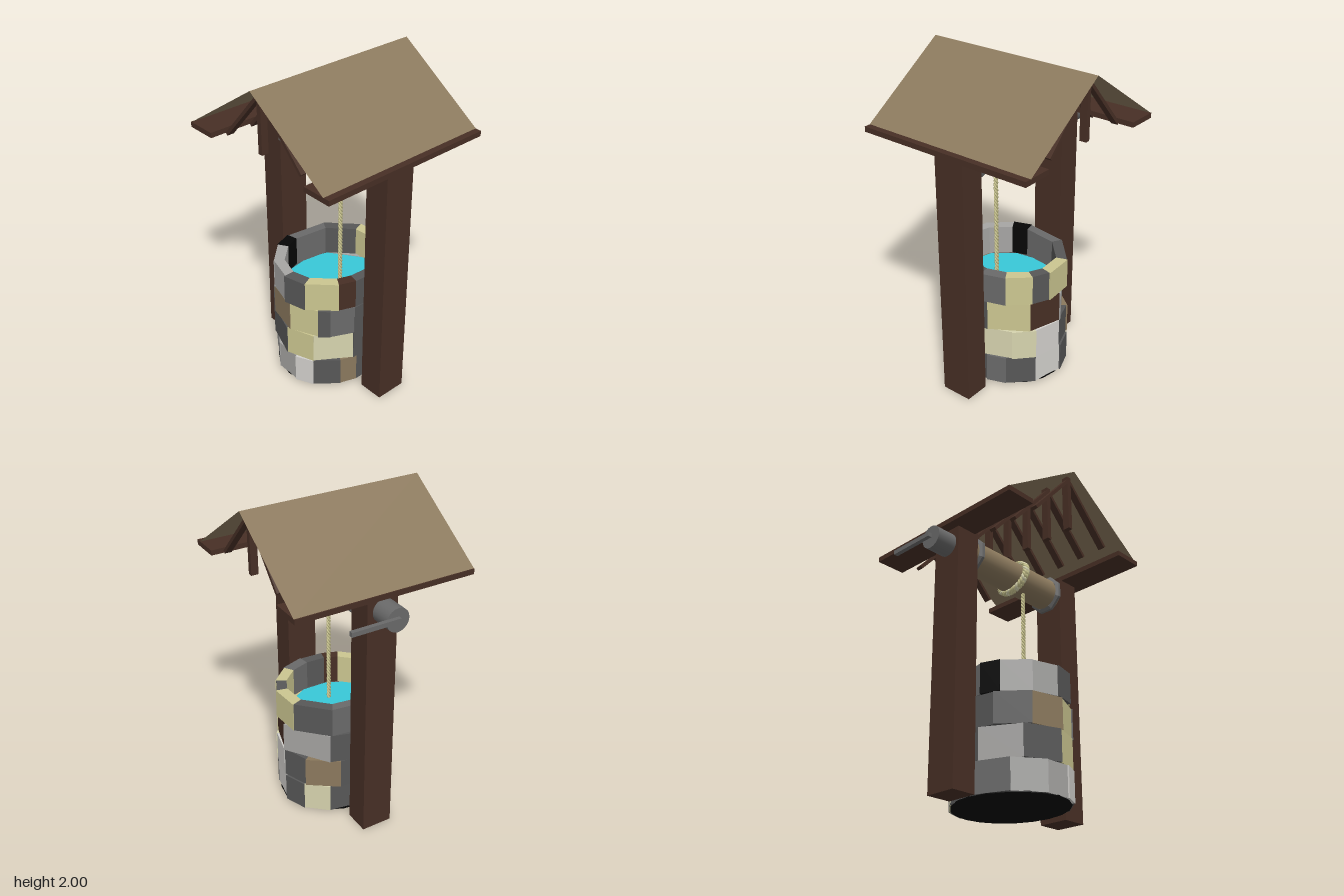
import * as THREE from 'three';

const mat = (name, color, side = THREE.FrontSide) => {
  const m = new THREE.MeshStandardMaterial({ color, side });
  m.name = name;
  return m;
};

export function createModel() {
  const model = new THREE.Group();
  model.name = 'well';

  const wood = mat('dark wood', 0x472f25);
  const tan = mat('tan wood', 0x8b795d, THREE.DoubleSide);
  const iron = mat('iron grey', 0x6a6a6a);
  const dark = mat('dark stone', 0x575757);
  const mid = mat('mid stone', 0xa6a5a3);
  const light = mat('light stone', 0xd2d0cc);
  const cream = mat('cream stone', 0xd6d3ae);
  const yellow = mat('yellow stone', 0xcbc690);
  const black = mat('black', 0x060606);
  const water = mat('water', 0x38c8d8);

  const add = (name, geometry, material, x = 0, y = 0, z = 0, parent = model) => {
    const mesh = new THREE.Mesh(geometry, material);
    mesh.name = name;
    mesh.position.set(x, y, z);
    parent.add(mesh);
    return mesh;
  };
  // box given by its limits on each axis
  const box = (name, material, [x0, x1], [y0, y1], [z0, z1], parent) =>
    add(name, new THREE.BoxGeometry(x1 - x0, y1 - y0, z1 - z0), material,
      (x0 + x1) / 2, (y0 + y1) / 2, (z0 + z1) / 2, parent);
  // cylinder lying along z
  const axle = (name, material, r, z0, z1, sides, x = -0.01) =>
    add(name, new THREE.CylinderGeometry(r, r, z1 - z0, sides).rotateX(Math.PI / 2),
      material, x, 1.49, (z0 + z1) / 2);

  // Stone ring: each course lists [start angle in degrees, stone]; 0 faces front, 90 faces +x
  const palette = { D: dark, G: iron, M: mid, L: light, C: cream, Y: yellow, T: tan, B: wood, K: black };
  const courses = [
    [[-13, 'D'], [13, 'G'], [32, 'D'], [62, 'L'], [96, 'D'], [121, 'C'], [148, 'D'], [185, 'G'],
      [220, 'M'], [255, 'M'], [283, 'L'], [303, 'D'], [330, 'T']],
    [[-17, 'D'], [10, 'C'], [38, 'C'], [62, 'L'], [93, 'D'], [123, 'T'], [158, 'D'], [190, 'M'],
      [232, 'D'], [272, 'Y'], [303, 'C']],
    [[-16, 'D'], [14, 'Y'], [56, 'B'], [94, 'M'], [148, 'D'], [174, 'D'], [205, 'D'], [240, 'T'],
      [276, 'Y'], [308, 'D'], [320, 'G']],
    [[-15, 'D'], [8, 'G'], [32, 'Y'], [58, 'D'], [77, 'Y'], [110, 'D'], [150, 'G'], [192, 'K'],
      [211, 'M'], [241, 'M'], [270, 'D'], [295, 'Y'], [328, 'B']],
  ];
  const levels = [0.015, 0.2, 0.392, 0.583, 0.77];
  const ring = new THREE.Group();
  ring.name = 'stoneRing';
  ring.position.set(-0.015, 0, 0.045);
  model.add(ring);
  courses.forEach((course, row) => {
    course.forEach(([start, key], i) => {
      const end = i + 1 < course.length ? course[i + 1][0] : course[0][0] + 360;
      const grow = 1 + 0.012 * ((i * 2 + row) % 3 - 1);
      const corner = (deg, rx, rz) => {
        const a = THREE.MathUtils.degToRad(deg);
        return new THREE.Vector2(rx * Math.sin(a), -rz * Math.cos(a));
      };
      const rx = 0.373 * grow, rz = 0.332 * grow;
      const shape = new THREE.Shape([corner(start, rx, rz), corner(end, rx, rz),
        corner(end, 0.305, 0.265), corner(start, 0.305, 0.265)]);
      const block = new THREE.ExtrudeGeometry(shape,
        { depth: levels[row + 1] - levels[row], bevelEnabled: false }).rotateX(-Math.PI / 2);
      add('stone', block, palette[key], 0, levels[row], 0, ring);
    });
  });
  const base = add('wellFloor', new THREE.CylinderGeometry(1, 1, 0.008, 20), black, 0, 0.014, 0, ring);
  base.scale.set(0.36, 1, 0.32);
  const pool = add('water', new THREE.CircleGeometry(1, 24).rotateX(-Math.PI / 2), water, 0, 0.58, 0, ring);
  pool.scale.set(0.31, 1, 0.27);

  // Posts and eave boards
  box('frontPost', wood, [-0.1, 0.095], [0, 1.6], [0.418, 0.575]);
  box('backPost', wood, [-0.1, 0.095], [0, 1.6], [-0.478, -0.32]);
  box('frontEaveBoard', wood, [-0.568, 0.568], [1.588, 1.62], [0.445, 0.635]);
  box('backEaveBoard', wood, [-0.568, 0.568], [1.588, 1.62], [-0.537, -0.345]);

  // Roof sheets
  const ridgeZ = 0.035;
  const roofSheet = (name, eaveZ) => {
    const run = Math.abs(eaveZ - ridgeZ), drop = 0.38, s = Math.sign(eaveZ - ridgeZ);
    const sheet = add(name, new THREE.PlaneGeometry(1.14, Math.hypot(run, drop)), tan,
      0, 2 - drop / 2, (ridgeZ + eaveZ) / 2);
    sheet.rotation.order = 'YXZ';
    sheet.rotation.set(-Math.atan2(run, drop), s > 0 ? 0 : Math.PI, 0);
  };
  roofSheet('frontRoof', 0.595);
  roofSheet('backRoof', -0.53);

  // Seven trusses: king post and two rafters
  for (let i = 0; i < 7; i++) {
    const x = -0.5 + i / 6;
    const truss = new THREE.Group();
    truss.name = 'truss';
    model.add(truss);
    box('kingPost', wood, [x - 0.022, x + 0.022], [1.62, 1.985], [0.025, 0.055], truss);
    for (const footZ of [0.367, -0.26]) {
      const dz = footZ - 0.04, dy = 1.63 - 1.965;
      const rafter = add('rafter', new THREE.BoxGeometry(0.044, 0.02, Math.hypot(dz, dy)), wood,
        x, 1.965 + dy / 2, 0.04 + dz / 2, truss);
      rafter.rotation.x = -Math.atan2(dy, dz);
    }
  }

  // Winding drum with chamfered eight-sided collars
  axle('drum', tan, 0.1, -0.32, 0.418, 24);
  const collarProfile = [[0, -0.02], [0.105, -0.02], [0.125, -0.009], [0.125, 0.009], [0.105, 0.02], [0, 0.02]]
    .map(([r, h]) => new THREE.Vector2(r, h));
  for (const z of [0.39, -0.295]) {
    const collar = new THREE.LatheGeometry(collarProfile, 8, Math.PI / 8)
      .rotateX(Math.PI / 2).toNonIndexed();
    collar.computeVertexNormals();
    add('drumCollar', collar, iron, -0.01, 1.49, z);
  }

  // Crank
  axle('crankHub', iron, 0.072, -0.612, -0.47, 20);
  box('crankHandle', iron, [-0.015, 0.292], [1.485, 1.512], [-0.637, -0.61]);

  // Rope of three twisted strands, wound on the drum and hanging into the water
  class Path extends THREE.Curve {
    constructor(fn) { super(); this.fn = fn; }
    getPoint(t, target = new THREE.Vector3()) { return target.set(...this.fn(t)); }
  }
  for (let k = 0; k < 3; k++) {
    const phase = k * Math.PI * 2 / 3;
    const hanging = new Path(t => {
      const a = phase + t * Math.PI * 24;
      return [-0.035 + 0.007 * Math.cos(a), 0.57 + 0.85 * t, 0.142 + 0.007 * Math.sin(a)];
    });
    add('hangingRopeStrand', new THREE.TubeGeometry(hanging, 190, 0.007, 5), yellow);
    const coil = new Path(t => {
      const a = t * Math.PI * 4, b = phase + t * Math.PI * 40, r = 0.109 + 0.009 * Math.cos(b);
      return [-0.01 + r * Math.cos(a), 1.49 + r * Math.sin(a),
        0.062 + 0.035 * t + 0.035 * Math.sin(a) + 0.009 * Math.sin(b)];
    });
    add('coiledRopeStrand', new THREE.TubeGeometry(coil, 300, 0.009, 5), k === 1 ? cream : yellow);
  }
  return model;
}
